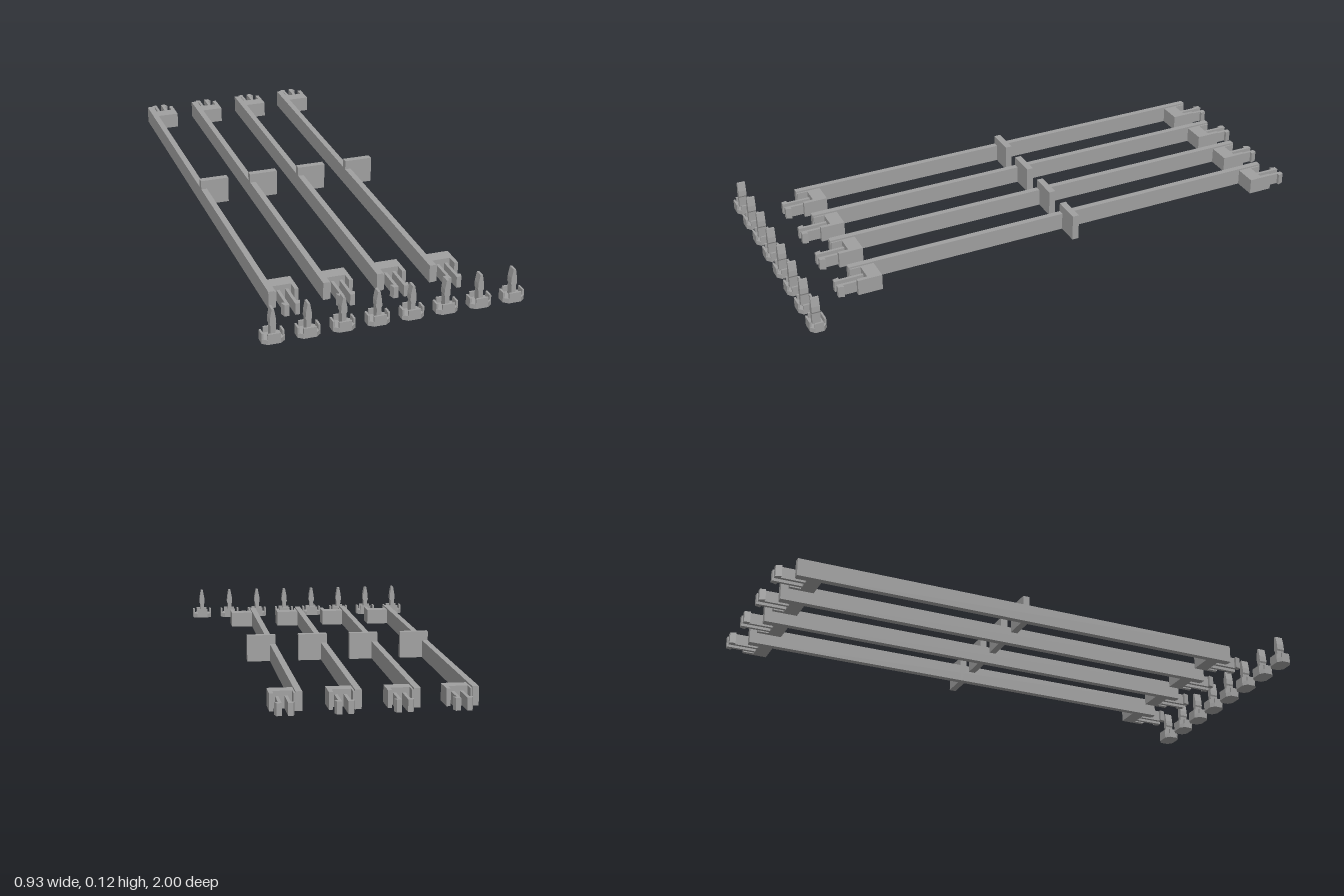
import * as THREE from 'three';

const grey = new THREE.MeshStandardMaterial({ color: 0xa0a0a0 });
grey.name = 'grey plastic';

// Box given by its limits on each axis
function box(parent, name, x0, x1, y0, y1, z0, z1) {
  const mesh = new THREE.Mesh(new THREE.BoxGeometry(x1 - x0, y1 - y0, z1 - z0), grey);
  mesh.position.set((x0 + x1) / 2, (y0 + y1) / 2, (z0 + z1) / 2);
  mesh.name = name;
  parent.add(mesh);
}

// Prism from an outline of [x, y] points, extruded along z
function prism(parent, name, points, depth) {
  const shape = new THREE.Shape(points.map(([x, y]) => new THREE.Vector2(x, y)));
  const geometry = new THREE.ExtrudeGeometry(shape, { depth, bevelEnabled: false });
  const mesh = new THREE.Mesh(geometry, grey);
  mesh.name = name;
  parent.add(mesh);
  return mesh;
}

// Notched block with two hooked prongs, reaching outward along z on either end
function addEnd(rail, side) {
  const end = new THREE.Group();
  end.name = side > 0 ? 'frontClip' : 'backClip';
  const part = (name, x0, x1, y1, a, b) =>
    box(end, name, x0, x1, 0, y1, Math.min(a * side, b * side), Math.max(a * side, b * side));
  part('clipBlock', 0.022, 0.107, 0.059, 0.763, 0.814);
  part('clipEar', 0.093, 0.107, 0.059, 0.814, 0.854);
  part('clipInnerEar', 0.022, 0.028, 0.059, 0.814, 0.854);
  for (const dir of [-1, 1]) {
    const prong = prism(end, 'prong', [
      [0.01, 0.81], [0.021, 0.81], [0.021, 0.901], [0.033, 0.901], [0.027, 0.922], [0.01, 0.922],
    ].map(([x, z]) => [0.063 + dir * x, side * z]), 0.042);
    // Outline lies in x and z, so tip the prism upright
    prong.rotation.x = Math.PI / 2;
    prong.position.y = 0.042;
  }
  rail.add(end);
}

function makeRail() {
  const rail = new THREE.Group();
  rail.name = 'rail';
  box(rail, 'bar', 0, 0.022, 0, 0.065, -0.857, 0.857);
  box(rail, 'middlePlate', 0, 0.107, 0, 0.099, -0.012, 0.013);
  addEnd(rail, 1);
  addEnd(rail, -1);
  return rail;
}

function makePeg() {
  const peg = new THREE.Group();
  peg.name = 'peg';
  // Eight-sided foot
  const foot = prism(peg, 'foot', [
    [-0.039, -0.016], [-0.022, -0.03], [0.022, -0.03], [0.039, -0.016],
    [0.039, 0.016], [0.022, 0.03], [-0.022, 0.03], [-0.039, 0.016],
  ], 0.017);
  foot.rotation.x = -Math.PI / 2;
  // Upright tabs round the foot
  for (const s of [-1, 1]) {
    const x = s * 0.0355, z = s * 0.0265;
    box(peg, 'sideTab', x - 0.0035, x + 0.0035, 0.015, 0.036, -0.016, 0.016);
    box(peg, 'endTab', -0.022, 0.022, 0.015, 0.037, z - 0.0035, z + 0.0035);
  }
  // Pointed post
  const half = [[0.008, 0.015], [0.008, 0.058], [0.011, 0.064], [0.01, 0.085], [0.004, 0.118]];
  const post = prism(peg, 'post',
    [...half, ...half.slice().reverse().map(([x, y]) => [-x, y])], 0.03);
  post.position.z = -0.015;
  return peg;
}

export function createModel() {
  const model = new THREE.Group();
  model.name = 'railSet';
  for (let i = 0; i < 4; i++) {
    const rail = makeRail();
    rail.position.set(-0.375 + i * 0.1935, 0, -0.078);
    model.add(rail);
  }
  for (let i = 0; i < 8; i++) {
    const peg = makePeg();
    peg.position.set(-0.424 + i * 0.1211, 0, 0.97);
    model.add(peg);
  }
  return model;
}
